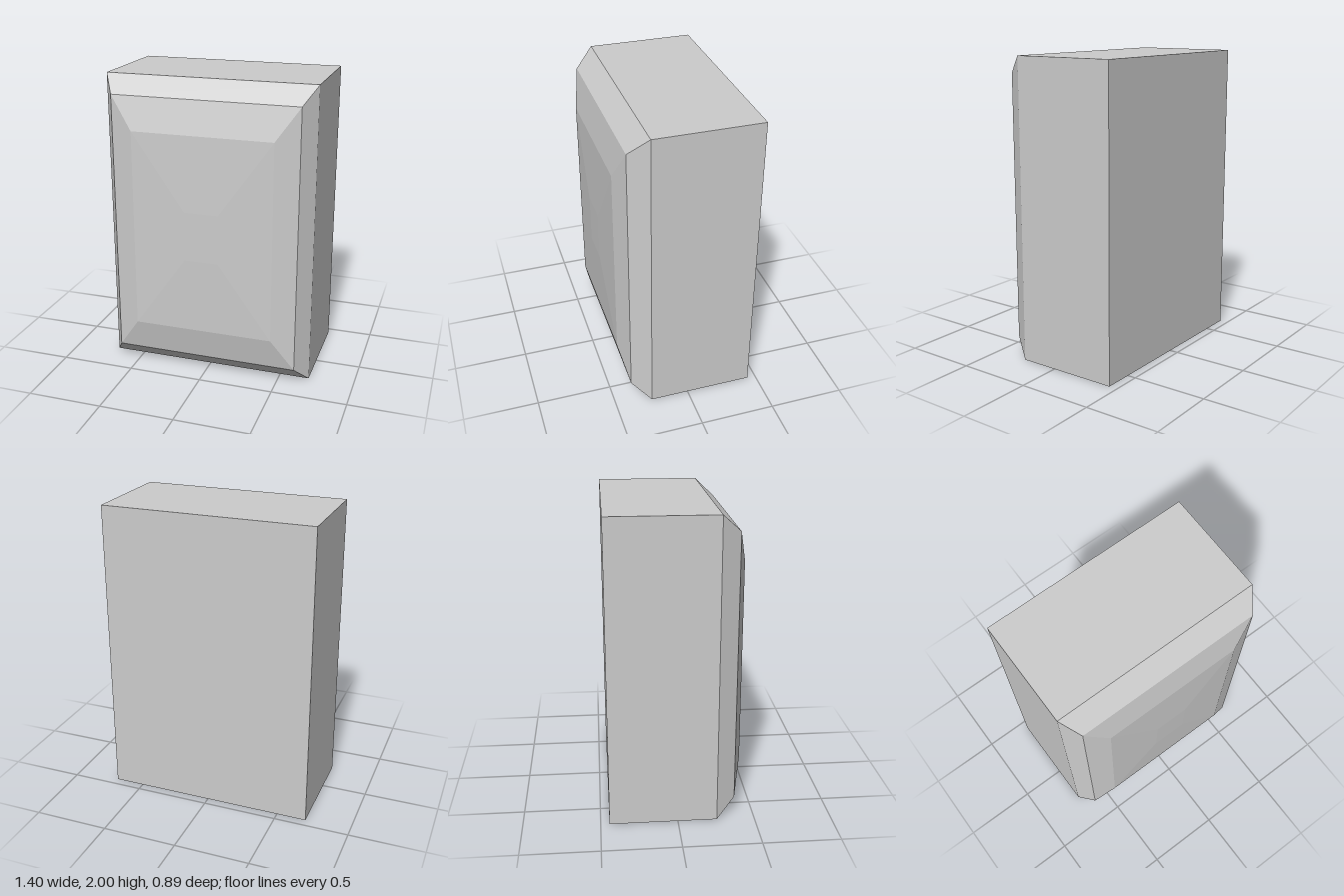
import * as THREE from 'three';

// Rectangular cross-sections from back to front: [z, half width, half height]
const sections = [
  [-0.443, 0.698, 1.0],
  [0.255, 0.698, 1.0],
  [0.378, 0.62, 0.885],
  [0.43, 0.468, 0.668],
  [0.443, 0.113, 0.165],
];
const corners = [[1, 1], [-1, 1], [-1, -1], [1, -1]];

// Lofts flat-faced quads between neighbouring sections, with optional end caps
function loft(rings, capBack, capFront) {
  const points = rings.flatMap(([z, w, h]) =>
    corners.flatMap(([sx, sy]) => [sx * w, 1 + sy * h, z]));
  const index = [];
  for (let r = 0; r < rings.length - 1; r++) {
    for (let i = 0; i < 4; i++) {
      const j = (i + 1) % 4;
      const a = r * 4 + i, b = r * 4 + j;
      index.push(a, b, b + 4, a, b + 4, a + 4);
    }
  }
  const last = (rings.length - 1) * 4;
  if (capBack) index.push(0, 2, 1, 0, 3, 2);
  if (capFront) index.push(last, last + 1, last + 2, last, last + 2, last + 3);

  const indexed = new THREE.BufferGeometry();
  indexed.setAttribute('position', new THREE.Float32BufferAttribute(points, 3));
  indexed.setIndex(index);
  const geometry = indexed.toNonIndexed();
  geometry.computeVertexNormals();
  return geometry;
}

export function createModel() {
  const group = new THREE.Group();
  group.name = 'bevelledBlock';
  const material = new THREE.MeshStandardMaterial({ color: 0xcccccc, flatShading: true });
  const add = (name, geometry) => {
    const mesh = new THREE.Mesh(geometry, material);
    mesh.name = name;
    group.add(mesh);
  };

  // Straight-sided body, open where the front joins it
  add('body', loft(sections.slice(0, 2), true, false));
  // Stepped bevels rising to a small flat centre
  add('bevelledFront', loft(sections.slice(1), false, true));

  return group;
}
